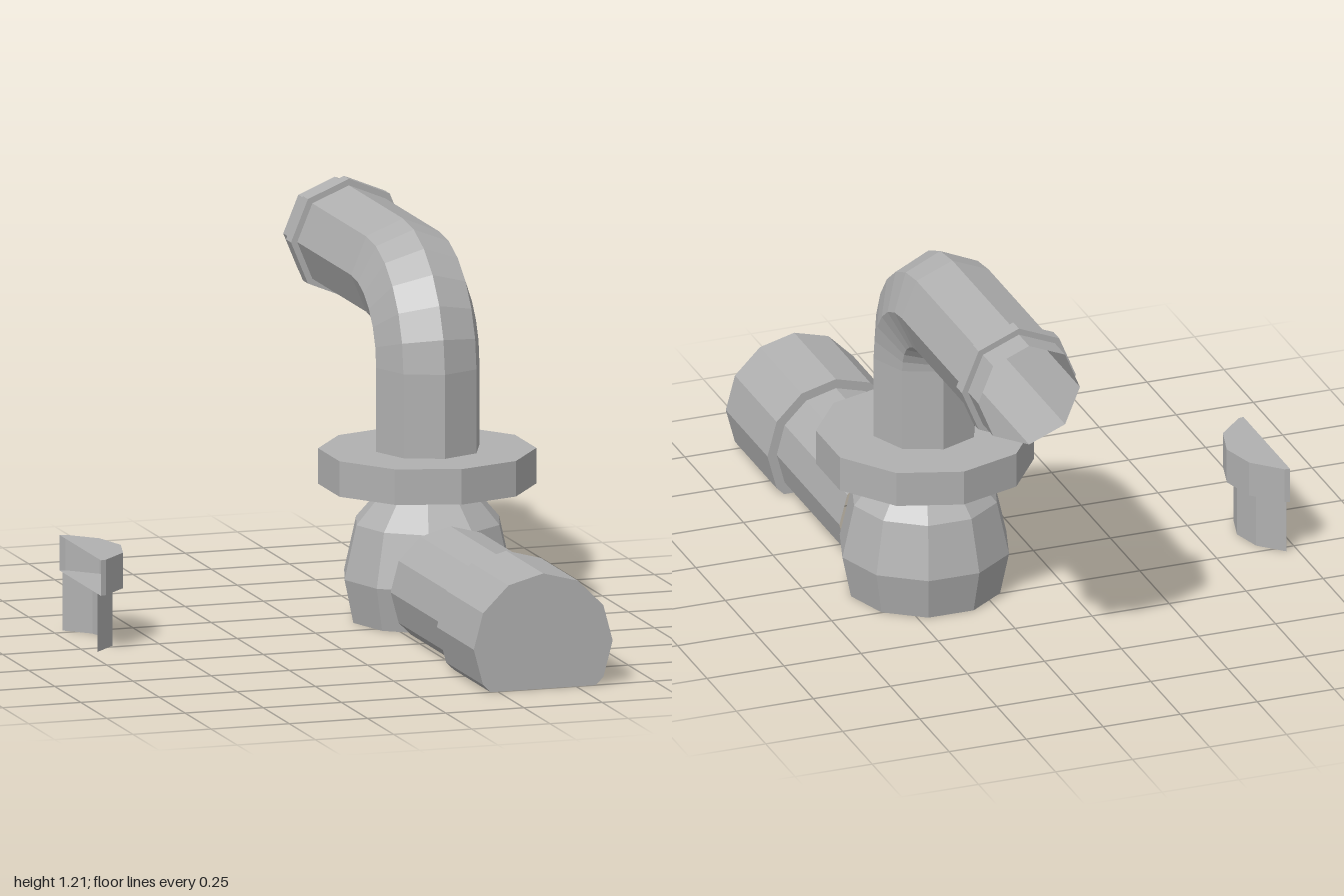
import * as THREE from 'three';

const CX = 0.395, CZ = -0.108;

// Skin a surface between successive rows of points
function loft(rows) {
  const pos = [];
  for (let i = 0; i < rows.length - 1; i++) {
    for (let j = 0; j < rows[i].length - 1; j++) {
      const a = rows[i][j], b = rows[i][j + 1], c = rows[i + 1][j + 1], d = rows[i + 1][j];
      pos.push(...a, ...d, ...c, ...a, ...c, ...b);
    }
  }
  const g = new THREE.BufferGeometry();
  g.setAttribute('position', new THREE.Float32BufferAttribute(pos, 3));
  g.computeVertexNormals();
  return g;
}

// Twelve-sided outline as [u, v] points, cut off flat below v = min
function cutRing(r, min) {
  const pt = (i) => [r * Math.sin(i * Math.PI / 6), r * Math.cos(i * Math.PI / 6)];
  const out = [];
  for (let i = -6; i < 6; i++) {
    const p = pt(i), q = pt(i + 1);
    if (p[1] >= min) out.push(p);
    if ((p[1] >= min) !== (q[1] >= min)) {
      const t = (min - p[1]) / (q[1] - p[1]);
      out.push([p[0] + (q[0] - p[0]) * t, min]);
    }
  }
  return out;
}

export function createModel() {
  const model = new THREE.Group();
  const grey = new THREE.MeshStandardMaterial({ color: 0xb0b0b0, flatShading: true, side: THREE.DoubleSide });
  grey.name = 'pipe grey';
  const add = (name, geometry, x = 0, y = 0, z = 0) => {
    const m = new THREE.Mesh(geometry, grey);
    m.name = name;
    m.position.set(x, y, z);
    model.add(m);
    return m;
  };

  // Ground pipe and its wider closed end, sunk into the floor
  const pipeRow = (r, z) => cutRing(r, -0.135).map(([u, v]) => [u, v, z]);
  add('groundPipe', loft([pipeRow(0.192, 0.112), pipeRow(0.192, 0.645)]), CX, 0.135);
  const endRow = pipeRow(0.222, 1);
  add('groundPipeCollar', loft([
    pipeRow(0.192, 0.645), pipeRow(0.222, 0.645), endRow, endRow.map(() => [0, -0.135, 1]),
  ]), CX, 0.135);

  // Bulb joint, open underneath
  const bulb = [[0.238, 0], [0.266, 0.135], [0.228, 0.302], [0.13, 0.415]];
  add('bulbJoint', new THREE.LatheGeometry(bulb.map((p) => new THREE.Vector2(...p)), 10, Math.PI / 2), CX, 0, CZ);

  // Flange plate
  add('flange', new THREE.CylinderGeometry(0.331, 0.331, 0.11, 10), CX, 0.47, CZ - 0.005);

  // Octagonal elbow: upright, six-step bend, then straight to the back
  const R = 0.165, bend = 0.24, by = 0.785, bz = CZ - bend;
  const elbowRow = (angle, dy = 0, dz = 0) => {
    const row = [];
    for (let i = 0; i <= 8; i++) {
      const t = i * Math.PI / 4, n = bend + R * Math.sin(t);
      row.push([R * Math.cos(t), by + dy + n * Math.sin(angle), bz + dz + n * Math.cos(angle)]);
    }
    return row;
  };
  const rows = [elbowRow(0, 0.525 - by)];
  for (let k = 0; k <= 6; k++) rows.push(elbowRow(k * Math.PI / 12));
  rows.push(elbowRow(Math.PI / 2, 0, -1 - bz));
  add('elbowPipe', loft(rows), CX);

  // Raised band near the open end
  const band = [[R, -0.024], [0.185, -0.024], [0.185, 0.024], [R, 0.024]];
  add('endBand', new THREE.LatheGeometry(band.map((p) => new THREE.Vector2(...p)), 8), CX, 1.025, -0.889)
    .rotation.x = Math.PI / 2;

  // Separate sliver of a capped post, cut flat and open on its outer side
  const postRow = (r, y) => cutRing(r, 0.095).map(([u, v]) => [v, y, u]);
  const hub = (y) => postRow(0.225, y).map(() => [0.095, y, 0]);
  add('postStem', loft([postRow(0.192, 0), postRow(0.192, 0.18)]), -0.81, 0, -0.112);
  add('postCap', loft([
    hub(0.18), postRow(0.225, 0.18), postRow(0.225, 0.29), hub(0.29),
  ]), -0.81, 0, -0.112);

  return model;
}
